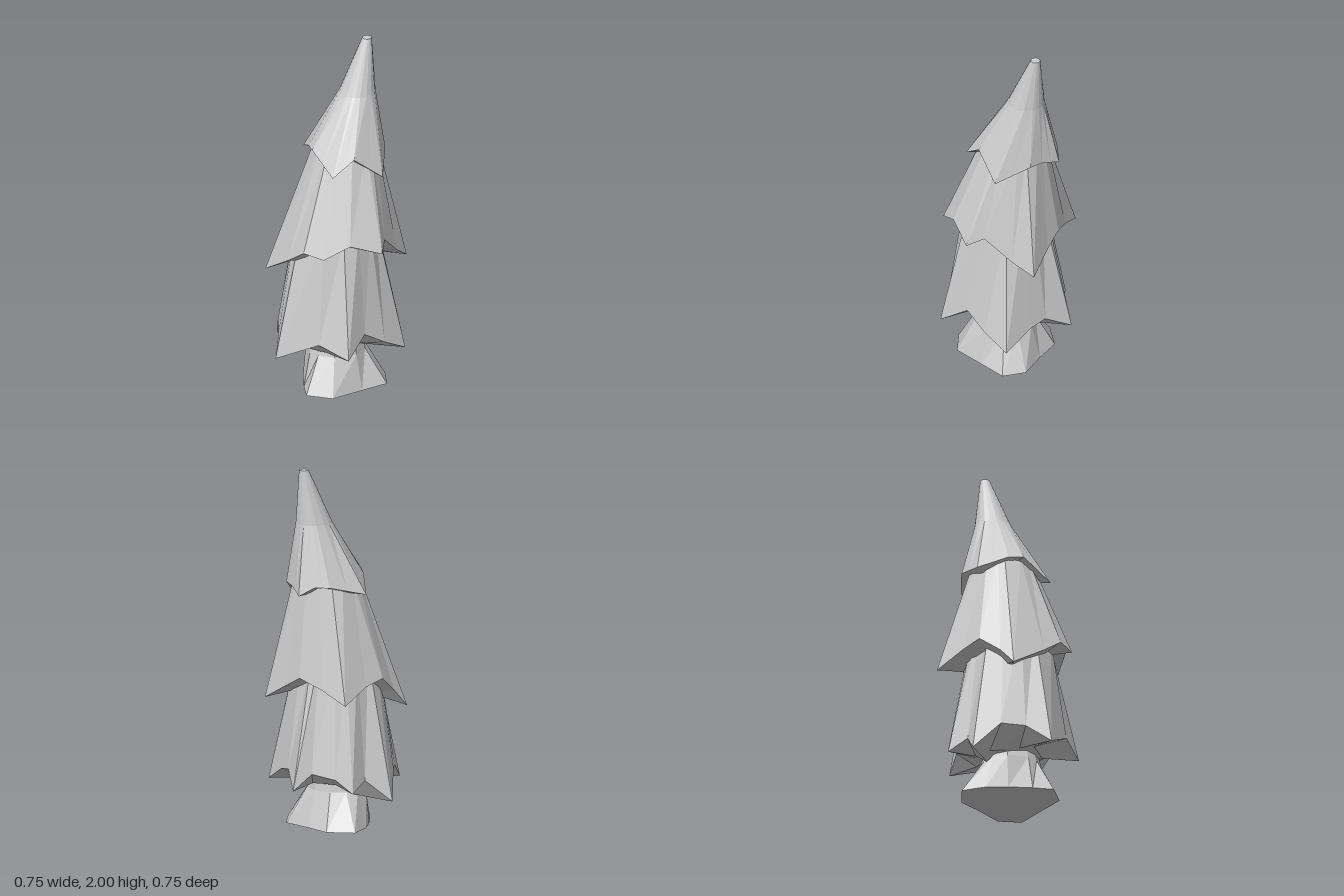
import * as THREE from 'three';

const material = new THREE.MeshStandardMaterial({ color: 0xcccccc, flatShading: true });

// Skins a stack of closed rings (listed bottom to top) and caps both ends.
function loft(name, rings) {
  const pos = [];
  const tri = (...pts) => pts.forEach((p) => pos.push(p.x, p.y, p.z));
  const n = rings[0].length;
  const middle = (ring) => ring.reduce((s, p) => s.add(p), new THREE.Vector3()).divideScalar(n);
  const first = rings[0];
  const last = rings[rings.length - 1];
  const low = middle(first);
  const high = middle(last);
  for (let i = 0; i < n; i++) {
    const j = (i + 1) % n;
    for (let k = 0; k < rings.length - 1; k++) {
      const a = rings[k];
      const b = rings[k + 1];
      tri(a[i], b[i], a[j]);
      tri(a[j], b[i], b[j]);
    }
    tri(low, first[i], first[j]);
    tri(high, last[j], last[i]);
  }
  const geometry = new THREE.BufferGeometry();
  geometry.setAttribute('position', new THREE.Float32BufferAttribute(pos, 3));
  geometry.computeVertexNormals();
  const mesh = new THREE.Mesh(geometry, material);
  mesh.name = name;
  return mesh;
}

// Round ring whose corners line up with the corners of an outline.
function ringAbove(outline, outlineX, { x, y, r }) {
  return outline.map((p) => {
    const a = Math.atan2(p.z, p.x - outlineX);
    return new THREE.Vector3(x + r * Math.cos(a), y, r * Math.sin(a));
  });
}

// Adds the middle of every rim edge, so the rings above become rounder.
function withMidpoints(points) {
  return points.flatMap((p, i) => {
    const q = points[(i + 1) % points.length];
    return [p, p.map((v, k) => (v + q[k]) / 2)];
  });
}

// Branch tier: ragged rim of [x, z, y], underside tucked in and down, round rings above.
function tier(name, centerX, drop, rimPoints, upper) {
  const rim = rimPoints.map(([x, z, y]) => new THREE.Vector3(x, y, z));
  const n = rim.length;
  const inner = rim.map((p, i) => {
    const y = (rim[(i + n - 1) % n].y + p.y + rim[(i + 1) % n].y) / 3 - drop;
    return new THREE.Vector3(centerX + (p.x - centerX) * 0.56, y, p.z * 0.56);
  });
  return loft(name, [inner, rim, ...upper.map((u) => ringAbove(rim, centerX, u))]);
}

export function createModel() {
  const tree = new THREE.Group();
  tree.name = 'tree';

  // Flared trunk with an uneven foot
  const foot = [
    [0.255, 0.12], [0.18, 0.23], [0.02, 0.215], [-0.17, 0.2], [-0.26, 0.08], [-0.2, -0.02],
    [-0.12, -0.13], [-0.04, -0.22], [0.08, -0.29], [0.2, -0.19], [0.22, -0.04],
  ].map(([x, z]) => new THREE.Vector3(x, 0, z));
  tree.add(loft('trunk', [
    foot,
    ringAbove(foot, 0, { x: 0.005, y: 0.2, r: 0.165 }),
    ringAbove(foot, 0, { x: 0.01, y: 0.34, r: 0.14 }),
  ]));

  // Rims alternate hanging tips and raised notches, going from +x towards +z
  tree.add(tier('lowerBranches', 0, 0.045, [
    [0.375, -0.125, 0.24], [0.31, 0.02, 0.33], [0.29, 0.12, 0.31], [0.26, 0.29, 0.22],
    [0.11, 0.3, 0.3], [-0.02, 0.29, 0.38], [-0.17, 0.34, 0.28], [-0.25, 0.18, 0.34],
    [-0.38, -0.04, 0.215], [-0.28, -0.14, 0.31], [-0.2, -0.25, 0.32], [-0.11, -0.375, 0.17],
    [0.02, -0.3, 0.29], [0.13, -0.345, 0.235], [0.2, -0.28, 0.31], [0.275, -0.16, 0.33],
  ], [{ x: 0.005, y: 0.96, r: 0.222 }]));

  tree.add(tier('middleBranches', 0.02, 0.02, [
    [0.36, 0.175, 0.71], [0.25, 0.23, 0.79], [0.11, 0.3, 0.92], [0.04, 0.37, 0.88],
    [-0.12, 0.29, 0.94], [-0.25, 0.22, 0.87], [-0.295, 0.1, 0.88], [-0.305, -0.03, 0.79],
    [-0.295, -0.24, 0.66], [-0.2, -0.255, 0.76], [-0.09, -0.31, 0.85], [0.03, -0.325, 0.82],
    [0.195, -0.37, 0.74], [0.25, -0.22, 0.81], [0.31, -0.09, 0.86], [0.325, 0.02, 0.8],
  ], [{ x: 0.075, y: 1.43, r: 0.168 }]));

  // Leaning crown with a small flat tip
  tree.add(tier('upperBranches', 0.09, 0.02, withMidpoints([
    [0.315, -0.09, 1.32], [0.285, 0.02, 1.355], [0.27, 0.1, 1.36], [0.14, 0.245, 1.27],
    [-0.02, 0.195, 1.4], [-0.14, 0.16, 1.31], [-0.135, -0.03, 1.41], [-0.1, -0.105, 1.4],
    [-0.015, -0.26, 1.32], [0.185, -0.2, 1.37], [0.25, -0.15, 1.37],
  ]), [{ x: 0.155, y: 1.7, r: 0.1 }, { x: 0.222, y: 2, r: 0.026 }]));

  return tree;
}
